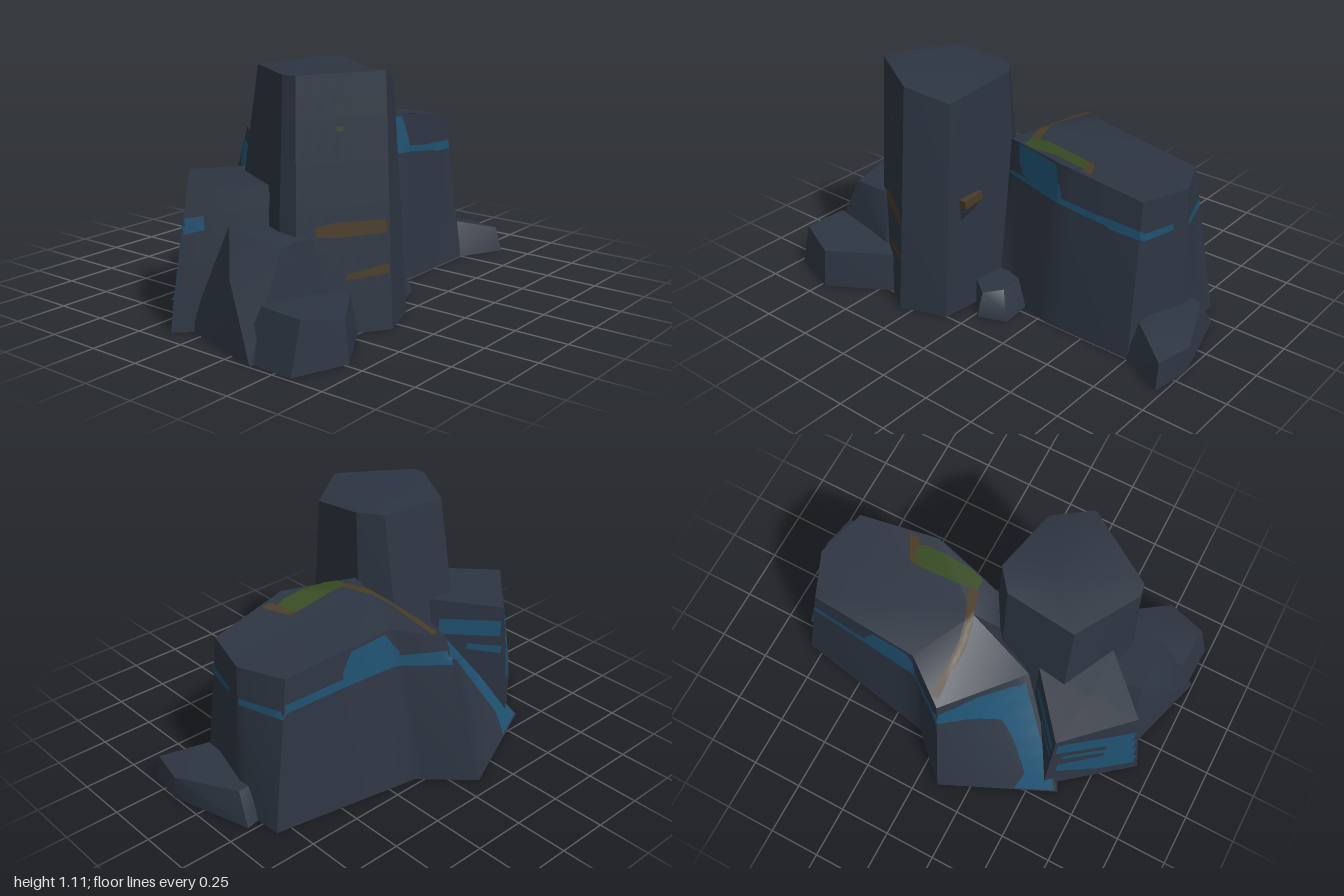
import * as THREE from 'three';
import { ConvexGeometry } from 'three/addons/geometries/ConvexGeometry.js';
import { toCreasedNormals } from 'three/addons/utils/BufferGeometryUtils.js';

const mat = (name, color) => {
  const m = new THREE.MeshStandardMaterial({ color, side: THREE.DoubleSide });
  m.name = name;
  return m;
};

export function createModel() {
  const group = new THREE.Group();
  const slate = mat('slate', 0x2d3542);
  const blue = mat('blueVein', 0x1e506f);
  const brown = mat('brownVein', 0x493b25);
  const green = mat('moss', 0x364a20);

  const add = (name, geometry, material) => {
    const mesh = new THREE.Mesh(geometry, material);
    mesh.name = name;
    group.add(mesh);
    return mesh;
  };

  // Surface from a flat list of triangle corners, soft over shallow edges
  const surface = (pos) => {
    const g = new THREE.BufferGeometry();
    g.setAttribute('position', new THREE.Float32BufferAttribute(pos, 3));
    return toCreasedNormals(g, 0.6);
  };

  // Rock lofted from a ground outline [x, z] to a top outline [x, y, z], capped to a peak, open below;
  // each side is a gently twisted patch of n by n cells
  const mix = (a, b, t) => a.map((v, i) => v + (b[i] - v) * t);
  const loft = (name, base, top, peak, n = 6) => {
    const pos = [];
    const low = base.map(([x, z]) => [x, 0, z]);
    low.forEach((a, i) => {
      const j = (i + 1) % low.length;
      const at = (u, v) => mix(mix(a, low[j], u / n), mix(top[i], top[j], u / n), v / n);
      for (let u = 0; u < n; u++) {
        for (let v = 0; v < n; v++) {
          const p = at(u, v), q = at(u + 1, v), r = at(u + 1, v + 1), s = at(u, v + 1);
          pos.push(...p, ...q, ...r, ...p, ...r, ...s);
        }
      }
      pos.push(...top[i], ...top[j], ...peak);
    });
    return add(name, surface(pos), slate);
  };

  // Faceted boulder from its corners, open below
  const hull = (name, corners) => {
    const p = new ConvexGeometry(corners.map(c => new THREE.Vector3(...c))).attributes.position.array;
    const pos = [];
    for (let i = 0; i < p.length; i += 9) {
      if (Math.max(p[i + 1], p[i + 4], p[i + 7]) > 0.001) pos.push(...p.slice(i, i + 9));
    }
    return add(name, surface(pos), slate);
  };

  // Ways of laying a painted strip onto a rock: [ray origin, ray direction]
  const V = (x, y, z) => new THREE.Vector3(x, y, z);
  const front = (s, h) => [V(s, h, 3), V(0, 0, -1)];
  const back = (s, h) => [V(s, h, -3), V(0, 0, 1)];
  const backUpright = (s, h) => [V(h, s, -3), V(0, 0, 1)];
  const side = (s, h) => [V(3, h, s), V(-1, 0, 0)];
  const above = (s, h) => [V(s, 3, h), V(0, -1, 0)];
  const aboveAcross = (s, h) => [V(h, 3, s), V(0, -1, 0)];

  // Thin strip following a rock, on its outer and inner skin; stations are [along, low, high]
  const ray = new THREE.Raycaster();
  const strip = (name, material, rock, project, stations, steps = 10, rows = 4) => {
    const land = (s, h, lift) => {
      ray.set(...project(s, h));
      const hit = ray.intersectObject(rock)[0];
      return hit ? hit.point.addScaledVector(hit.face.normal, lift).toArray() : null;
    };
    const pos = [];
    for (const lift of [0.0045, -0.0045]) {
      const columns = [];
      for (let i = 0; i < stations.length - 1; i++) {
        for (let k = 0; k <= steps; k++) {
          const [s, lo, hi] = mix(stations[i], stations[i + 1], k / steps);
          columns.push(Array.from({ length: rows + 1 }, (_, r) => land(s, lo + (hi - lo) * r / rows, lift)));
        }
      }
      for (let i = 0; i < columns.length - 1; i++) {
        for (let r = 0; r < rows; r++) {
          const a = columns[i][r], b = columns[i + 1][r], c = columns[i + 1][r + 1], d = columns[i][r + 1];
          if (a && b && c && d) pos.push(...a, ...b, ...c, ...a, ...c, ...d);
        }
      }
    }
    add(name, surface(pos), material);
  };

  // Main masses
  const mesa = loft('mesa',
    [[0.75, 0.25], [0.83, -0.1], [0.82, -0.34], [0.11, -0.47], [-0.1, -0.675],
      [-0.64, -0.43], [-0.3, 0.2], [0, 0.17], [0.3, 0.25]],
    [[0.73, 0.73, 0.15], [0.8, 0.72, -0.09], [0.71, 0.715, -0.3], [0.17, 0.765, -0.35], [-0.03, 0.71, -0.5],
      [-0.3, 0.55, -0.12], [-0.12, 0.6, 0], [-0.03, 0.78, 0.09], [0.33, 0.8, 0.19]],
    [0.02, 0.79, -0.06]);

  const pillar = loft('pillar',
    [[-0.31, 0.58], [-0.09, 0.5], [-0.03, 0.05], [-0.15, -0.15], [-0.5, -0.2], [-0.68, 0.25], [-0.66, 0.34]],
    [[-0.28, 1.105, 0.51], [-0.1, 1.04, 0.42], [-0.04, 1.105, 0.09], [-0.12, 1.1, -0.01],
      [-0.45, 1.1, -0.045], [-0.62, 1.1, 0.24], [-0.61, 1.1, 0.3]],
    [-0.28, 1.105, 0.14]);

  const backBoulder = loft('backBoulder',
    [[-0.3, -0.1], [-0.56, -0.43], [-0.93, -0.13], [-0.6, 0.22]],
    [[-0.34, 0.63, -0.1], [-0.56, 0.61, -0.37], [-0.84, 0.615, -0.1], [-0.6, 0.62, 0.14]],
    [-0.6, 0.62, -0.1]);

  // Smaller boulders round the foot
  hull('leftBoulder', [[-0.995, 0, 0.38], [-0.85, 0, -0.1], [-0.4, 0, 0], [-0.5, 0, 0.45],
    [-0.91, 0.3, 0.2], [-0.79, 0.48, 0.09], [-0.78, 0.43, 0.36], [-0.57, 0.43, 0.36],
    [-0.55, 0.2, 0.42], [-0.5, 0.44, 0]]);
  hull('frontLeftRock', [[-0.98, 0, 0.58], [-0.73, 0, 0.67], [-0.42, 0, 0.48], [-0.5, 0, 0.2], [-0.97, 0, 0.3],
    [-0.92, 0.22, 0.58], [-0.73, 0.185, 0.65], [-0.45, 0.18, 0.46], [-0.5, 0.2, 0.3], [-0.91, 0.225, 0.37]]);
  hull('frontPebble', [[-0.08, 0, 0.3], [0.02, 0, 0.41], [0.155, 0, 0.36], [0.14, 0, 0.18], [-0.05, 0, 0.1],
    [-0.08, 0.12, 0.3], [0.02, 0.11, 0.37], [0.09, 0.12, 0.3], [0.14, 0.05, 0.35],
    [0.08, 0.12, 0.18], [-0.05, 0.12, 0.14]]);
  hull('rightRock', [[0.97, 0, 0.36], [1, 0, 0.16], [0.89, 0, -0.23], [0.75, 0, -0.2], [0.74, 0, 0.25],
    [0.96, 0.12, 0.33], [1, 0.12, 0.15], [0.87, 0.145, -0.15], [0.77, 0.145, -0.15], [0.77, 0.175, 0.2]]);

  // Little wedge on the pillar with a brown cap
  hull('ledge', [[-0.12, 0.37, 0.39], [-0.12, 0.54, 0.28], [-0.12, 0.54, 0.39], [-0.055, 0.53, 0.39], [-0.055, 0.54, 0.28]]);
  const cap = add('ledgeCap', new THREE.BoxGeometry(0.06, 0.04, 0.115), brown);
  cap.position.set(-0.08, 0.555, 0.335);
  cap.rotation.x = 0.08;

  // Blue veins
  strip('frontVein', blue, mesa, front, [[-0.03, 0.615, 0.63], [0.09, 0.615, 0.64], [0.33, 0.615, 0.645],
    [0.5, 0.59, 0.62], [0.73, 0.56, 0.59]]);
  strip('frontPatch', blue, mesa, front, [[0.04, 0.7, 0.78], [0.1, 0.62, 0.785], [0.3, 0.62, 0.79], [0.34, 0.63, 0.66]]);
  strip('sideVein', blue, mesa, side, [[0.185, 0.57, 0.62], [0.15, 0.55, 0.585], [-0.01, 0.55, 0.58]]);
  strip('sideVein', blue, mesa, side, [[-0.1, 0.54, 0.57], [-0.31, 0.535, 0.57]]);
  strip('backVein', blue, mesa, back, [[0.725, 0.56, 0.6], [0.4, 0.58, 0.62], [0.12, 0.59, 0.64], [-0.04, 0.58, 0.65],
    [-0.15, 0.51, 0.62], [-0.28, 0.42, 0.54]]);
  strip('backPatch', blue, mesa, back, [[0.43, 0.6, 0.65], [0.38, 0.6, 0.73], [0.2, 0.6, 0.75], [0.14, 0.61, 0.66]]);
  strip('cornerVein', blue, mesa, backUpright, [[0.01, -0.62, -0.44], [0.1, -0.57, -0.46], [0.3, -0.44, -0.35], [0.53, -0.3, -0.21]]);

  // Blue veins on the back boulder: full block, upper and lower arms, stripe between, side bands
  strip('boulderVein', blue, backBoulder, back, [[-0.915, 0.08, 0.46], [-0.76, 0.1, 0.5]]);
  strip('boulderVein', blue, backBoulder, back, [[-0.76, 0.39, 0.5], [-0.57, 0.46, 0.57]]);
  strip('boulderVein', blue, backBoulder, back, [[-0.76, 0.31, 0.35], [-0.6, 0.36, 0.4]]);
  strip('boulderVein', blue, backBoulder, back, [[-0.76, 0.1, 0.27], [-0.59, 0.2, 0.29]]);
  strip('boulderSideVein', blue, backBoulder, side, [[-0.37, 0.46, 0.54], [-0.14, 0.45, 0.53]]);
  strip('boulderSideVein', blue, backBoulder, side, [[-0.38, 0.37, 0.41], [-0.25, 0.38, 0.41]]);
  strip('boulderLeftVein', blue, backBoulder, front, [[-0.87, 0.42, 0.49], [-0.8, 0.44, 0.5]]);

  // Brown veins and moss
  strip('pillarVein', brown, pillar, front, [[-0.57, 0.43, 0.47], [-0.5, 0.42, 0.485], [-0.31, 0.425, 0.48]]);
  strip('pillarVein', brown, pillar, front, [[-0.47, 0.235, 0.26], [-0.31, 0.25, 0.29]]);
  strip('mossSpot', green, pillar, front, [[-0.475, 0.865, 0.885], [-0.45, 0.865, 0.885]]);
  strip('topVein', brown, mesa, aboveAcross, [[-0.46, -0.015, 0.02], [-0.2, -0.015, 0.02], [-0.1, 0.005, 0.04], [0.05, 0.05, 0.1]]);
  strip('topVein', brown, mesa, aboveAcross, [[0.04, 0.35, 0.4], [0.16, 0.42, 0.465]]);
  strip('mossPatch', green, mesa, above, [[0.06, 0.05, 0.11], [0.12, 0.04, 0.13], [0.36, 0.04, 0.14], [0.4, 0.08, 0.13]]);

  return group;
}
